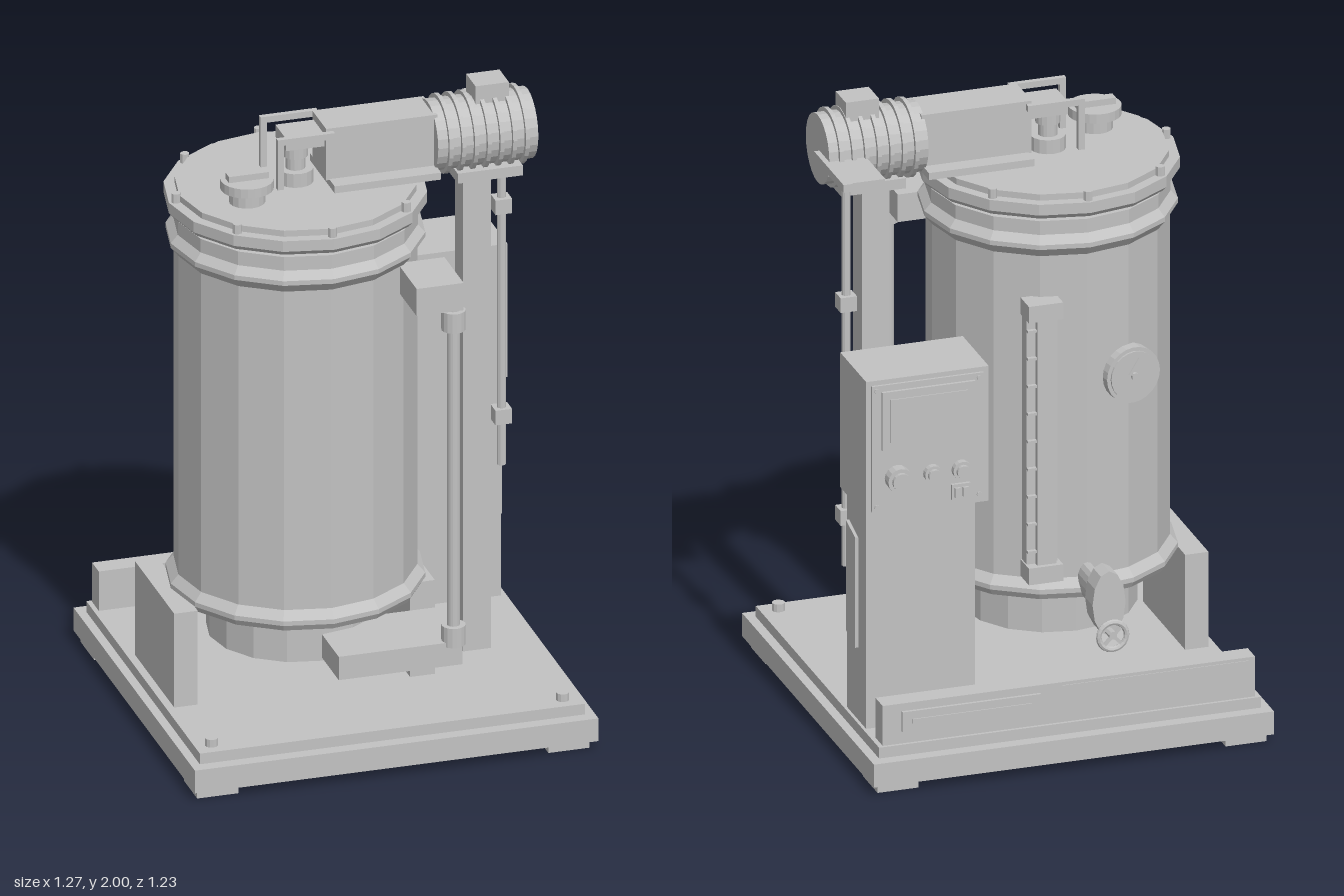
import * as THREE from 'three';

export function createModel() {
  const model = new THREE.Group();
  model.name = 'mixingTankUnit';
  const grey = new THREE.MeshStandardMaterial({ color: 0xc2c2c2, flatShading: true });
  grey.name = 'machineGrey';

  const add = (name, geometry, parent = model) => {
    const mesh = new THREE.Mesh(geometry, grey);
    mesh.name = name;
    parent.add(mesh);
    return mesh;
  };
  // Box given by its limits on each axis
  const box = (name, x0, x1, y0, y1, z0, z1, parent) => {
    const m = add(name, new THREE.BoxGeometry(x1 - x0, y1 - y0, z1 - z0), parent);
    m.position.set((x0 + x1) / 2, (y0 + y1) / 2, (z0 + z1) / 2);
    return m;
  };
  // Cylinder between two values on an axis; a and b are the other two coordinates in x, y, z order
  const cyl = (name, axis, r, from, to, a, b, sides = 16, parent) => {
    const g = new THREE.CylinderGeometry(r, r, to - from, sides);
    if (axis === 'x') g.rotateZ(-Math.PI / 2);
    if (axis === 'z') g.rotateX(Math.PI / 2);
    const m = add(name, g, parent);
    const c = (from + to) / 2;
    if (axis === 'x') m.position.set(c, a, b);
    else if (axis === 'y') m.position.set(a, c, b);
    else m.position.set(a, b, c);
    return m;
  };
  const lathe = (name, pts, x, z) => {
    const m = add(name, new THREE.LatheGeometry(pts.map(p => new THREE.Vector2(...p)), 16));
    m.position.set(x, 0, z);
    return m;
  };
  const TX = -0.145, TZ = 0.055;

  // Base with feet and anchor bolts
  box('baseSlab', -0.635, 0.635, 0.03, 0.105, -0.615, 0.615);
  box('baseDeck', -0.607, 0.605, 0.105, 0.14, -0.575, 0.575);
  for (const x of [-0.555, 0.55]) {
    for (const z of [-0.522, 0.522]) box('foot', x - 0.065, x + 0.065, 0, 0.03, z - 0.068, z + 0.068);
    cyl('anchorBolt', 'y', 0.02, 0.14, 0.165, x, 0.525, 12);
  }

  // Rear service channel with cover plates
  box('rearChannel', -0.592, 0.59, 0.14, 0.27, -0.565, -0.497);
  box('rearCover', 0.09, 0.53, 0.18, 0.245, -0.575, -0.565);
  box('rearCoverRib', 0.12, 0.5, 0.205, 0.22, -0.579, -0.575);
  box('rearCover', -0.57, 0.02, 0.16, 0.26, -0.568, -0.565);

  // Tank, skirt and support legs
  lathe('tankBody', [[0, 0.43], [0.38, 0.43], [0.392, 0.45], [0.392, 0.465], [0.368, 0.492], [0.368, 1.545],
    [0.392, 1.575], [0.392, 1.59], [0.37, 1.615], [0.37, 1.66], [0, 1.66]], TX, TZ);
  lathe('tankSkirt', [[0, 0.275], [0.27, 0.275], [0.27, 0.435]], TX, TZ);
  box('leftLeg', -0.582, -0.508, 0.14, 0.45, -0.16, 0.235);
  box('rightLeg', 0.16, 0.238, 0.14, 0.45, -0.16, 0.235);

  // Stepped lid with clamp bolts
  lathe('lid', [[0, 1.675], [0.385, 1.675], [0.398, 1.69], [0.398, 1.725], [0.365, 1.725],
    [0.365, 1.745], [0, 1.745]], TX, TZ);
  for (let i = 0; i < 8; i++) {
    const a = i * Math.PI / 4;
    cyl('lidBolt', 'y', 0.014, 1.68, 1.755, TX + 0.376 * Math.cos(a), TZ + 0.376 * Math.sin(a), 8);
  }

  // Filler hatch
  cyl('hatchNeck', 'y', 0.055, 1.74, 1.8, -0.328, 0.155);
  cyl('hatchCap', 'y', 0.081, 1.79, 1.82, -0.328, 0.155, 24);
  box('hatchHandle', -0.39, -0.265, 1.82, 1.84, 0.137, 0.172);

  // Agitator shaft and its open guard
  cyl('shaftHub', 'y', 0.055, 1.74, 1.79, TX, TZ);
  cyl('shaft', 'y', 0.03, 1.78, 1.89, TX, TZ);
  cyl('shaftCoupling', 'y', 0.038, 1.83, 1.87, TX, TZ);
  box('shaftCap', -0.19, -0.07, 1.87, 1.91, -0.003, 0.107);
  for (const z of [-0.032, 0.142]) {
    box('guardArm', -0.23, -0.05, 1.91, 1.93, z - 0.009, z + 0.009);
    box('guardLeg', -0.23, -0.21, 1.765, 1.91, z - 0.009, z + 0.009);
  }

  // Gearbox, ribbed motor and support post
  box('gearbox', -0.07, 0.28, 1.765, 1.935, -0.015, 0.125);
  box('gearboxPlate', -0.06, 0.275, 1.745, 1.768, -0.07, 0.18);
  cyl('motor', 'x', 0.11, 0.27, 0.585, 1.84, 0.057, 24);
  for (let i = 0; i < 7; i++) {
    const x = 0.302 + i * 0.04;
    cyl('motorFin', 'x', 0.123, x, x + 0.013, 1.84, 0.057, 24);
  }
  box('terminalBox', 0.408, 0.513, 1.93, 2, 0.005, 0.1);
  box('post', 0.367, 0.455, 0.14, 1.72, 0.025, 0.107);
  box('postCap', 0.335, 0.54, 1.712, 1.745, -0.033, 0.155);

  // Cable conduit dropping from the motor
  box('conduitTray', 0.468, 0.575, 1.815, 1.84, -0.23, 0);
  box('conduitArm', 0.573, 0.602, 1.815, 1.84, -0.235, 0.04);
  cyl('conduit', 'y', 0.014, 0.59, 1.82, 0.587, -0.215, 12);
  for (const y of [0.755, 1.45]) box('conduitClamp', 0.561, 0.613, y - 0.024, y + 0.024, -0.241, -0.189);

  // Front circulation pipe
  box('upperPort', 0.1, 0.248, 1.455, 1.545, 0.3, 0.495);
  box('lowerPort', -0.145, 0.245, 0.285, 0.362, 0.24, 0.495);
  cyl('pipe', 'y', 0.02, 0.35, 1.46, 0.222, 0.475);
  for (const y of [0.38, 1.42]) cyl('pipeFlange', 'y', 0.037, y - 0.032, y + 0.032, 0.222, 0.475);

  // Control column with a side door standing slightly ajar
  box('controlColumn', 0.25, 0.595, 0.14, 0.86, -0.425, -0.245);
  box('sideDoor', 0.604, 0.614, 0.4, 0.76, -0.405, -0.265).rotation.y = -0.13;

  // Control box with rear-facing panel
  box('controlBox', 0.227, 0.616, 0.86, 1.3, -0.487, -0.245);
  box('controlPanel', 0.245, 0.6, 0.875, 1.285, -0.495, -0.487);
  box('screenBezel', 0.275, 0.57, 1.075, 1.265, -0.505, -0.495);
  box('screen', 0.3, 0.545, 1.1, 1.24, -0.509, -0.505);
  for (const [x, r, z] of [[0.52, 0.04, -0.53], [0.41, 0.028, -0.515], [0.318, 0.03, -0.515]]) {
    cyl('knobCollar', 'z', r, z, -0.495, x, 0.98);
    cyl('knob', 'z', r * 0.7, z - 0.013, z, x, 0.98);
  }
  box('switchPlate', 0.29, 0.35, 0.885, 0.935, -0.505, -0.495);
  for (const x of [0.307, 0.333]) box('switchKey', x - 0.009, x + 0.009, 0.895, 0.925, -0.513, -0.505);
  for (const x of [0.26, 0.585]) for (const y of [0.89, 1.27]) cyl('panelScrew', 'z', 0.008, -0.5, -0.495, x, y, 8);

  // Level gauge on the rear of the tank
  box('gaugeBack', -0.05, 0.048, 0.52, 1.39, -0.315, -0.27);
  for (const y of [0.53, 1.385]) box('gaugeEnd', -0.057, 0.052, y - 0.027, y + 0.027, -0.348, -0.27);
  box('gaugeGlass', -0.04, 0.02, 0.55, 1.365, -0.333, -0.31);
  for (let i = 0; i < 9; i++) {
    const y = 0.6 + i * 0.09;
    box('gaugeTick', 0.018, 0.048, y - 0.004, y + 0.004, -0.328, -0.31);
  }

  // Dial gauge on the tank wall
  const dial = new THREE.Group();
  dial.name = 'dialGauge';
  cyl('dialStem', 'z', 0.03, -0.05, 0.01, 0, 0, 12, dial);
  cyl('dialCase', 'z', 0.09, 0, 0.038, 0, 0, 24, dial);
  cyl('dialFace', 'z', 0.078, 0.038, 0.044, 0, 0, 24, dial);
  cyl('dialHub', 'z', 0.012, 0.044, 0.054, 0, 0, 10, dial);
  box('dialNeedle', -0.004, 0.004, 0, 0.06, 0.044, 0.049, dial).rotation.z = -0.6;
  dial.position.set(-0.285, 1.13, -0.278);
  dial.rotation.y = Math.PI + 0.16;
  model.add(dial);

  // Drain valve with handwheel
  cyl('drainPipe', 'z', 0.058, -0.45, -0.25, TX, 0.48).scale.x = 0.5;
  cyl('valveBody', 'z', 0.105, -0.517, -0.447, TX, 0.485, 12).scale.x = 0.5;
  cyl('valveStem', 'z', 0.013, -0.555, -0.5, TX, 0.395, 10);
  add('handwheel', new THREE.TorusGeometry(0.044, 0.009, 8, 20)).position.set(TX, 0.393, -0.55);
  for (let i = 0; i < 2; i++) {
    const spoke = box('handwheelSpoke', TX - 0.042, TX + 0.042, 0.388, 0.398, -0.554, -0.546);
    spoke.rotation.z = Math.PI / 4 + i * Math.PI / 2;
  }
  return model;
}
